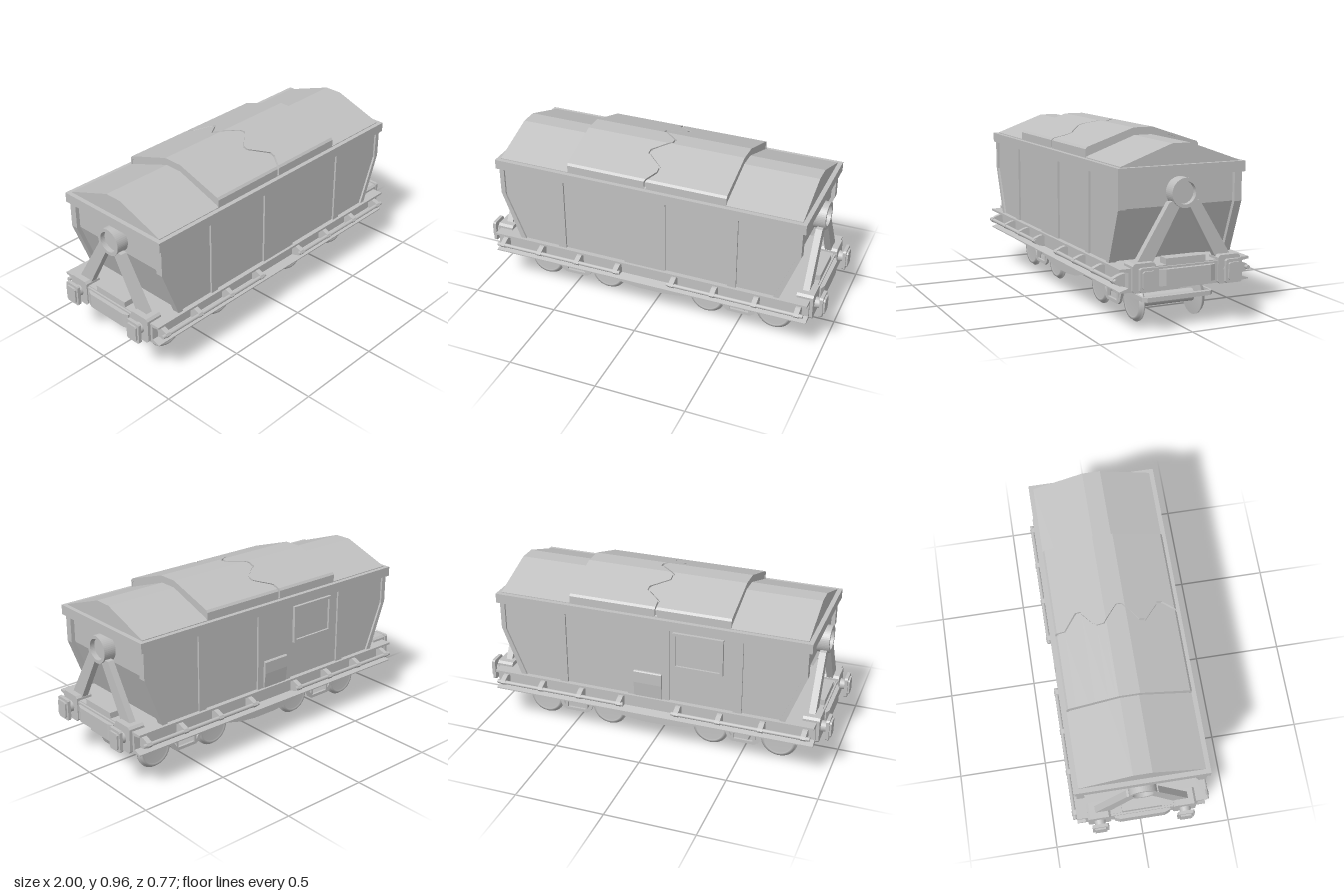
import * as THREE from 'three';

const grey = new THREE.MeshStandardMaterial({ color: 0xc0c0c0, side: THREE.DoubleSide });
grey.name = 'light grey';

const poly = (pts, holes = []) => {
  const s = new THREE.Shape(pts.map(p => new THREE.Vector2(...p)));
  holes.forEach(h => s.holes.push(new THREE.Path(h.map(p => new THREE.Vector2(...p)))));
  return s;
};
const extrude = (shape, depth) => new THREE.ExtrudeGeometry(shape, { depth, bevelEnabled: false, curveSegments: 24 });
// outline in (x, y), extruded from z0 to z1
const alongZ = (shape, z0, z1) => extrude(shape, z1 - z0).translate(0, 0, z0);
// outline in (z, y), extruded from x0 to x1
const alongX = (shape, x0, x1) => extrude(shape, x1 - x0).rotateY(Math.PI / 2).translate(x0, 0, 0);
// outline in (x, z), extruded from y0 to y1
const alongY = (shape, y0, y1) => extrude(shape, y1 - y0).rotateX(Math.PI / 2).translate(0, y1, 0);
const box = (x0, x1, y0, y1, z0, z1) =>
  new THREE.BoxGeometry(x1 - x0, y1 - y0, z1 - z0).translate((x0 + x1) / 2, (y0 + y1) / 2, (z0 + z1) / 2);
const mirrorPts = half => [...half, ...half.map(([x, y]) => [-x, y]).reverse()];
const rect = (x0, x1, y0, y1) => [[x0, y0], [x1, y0], [x1, y1], [x0, y1]];

function lerpTable(table, t) {
  for (let i = 1; i < table.length; i++) {
    const [a, va] = table[i - 1], [b, vb] = table[i];
    if (t <= b) return va + (vb - va) * (t - a) / (b - a);
  }
  return table[table.length - 1][1];
}

// one half of the raised roof cover, from its outer end to the zigzag seam
function coverHalf(side) {
  const seam = [[-0.33, -0.04], [-0.28, -0.04], [-0.21, 0.045], [-0.18, 0.045], [-0.11, -0.05], [-0.07, -0.05],
    [0.01, 0.045], [0.04, 0.045], [0.12, -0.05], [0.15, -0.05], [0.23, 0.045], [0.26, 0.045], [0.33, 0]];
  const height = [[-0.33, 0.86], [-0.32, 0.872], [-0.055, 0.96], [0.055, 0.96], [0.32, 0.872], [0.33, 0.86]];
  const zs = [...new Set([...seam, ...height].map(p => p[0]))].sort((a, b) => a - b);
  const rows = zs.map(z => [z, lerpTable(height, z)]);
  rows.unshift([-0.33, 0.815]);
  rows.push([0.33, 0.815]);
  const ring = ([z, y]) => {
    const xs = lerpTable(seam, z) + side * 0.006, xe = side * 0.455, zi = z * 0.965, yi = y - 0.012;
    return [[xe, y, z], [xs, y, z], [xs, yi, zi], [xe, yi, zi]];
  };
  const pos = [];
  for (let i = 1; i < rows.length; i++) {
    const a = ring(rows[i - 1]), b = ring(rows[i]);
    for (let k = 0; k < 4; k++) {
      const n = (k + 1) % 4, q = [a[k], a[n], b[n], b[k]];
      if (side < 0) q.reverse();
      [0, 2, 1, 0, 3, 2].forEach(j => pos.push(...q[j]));
    }
  }
  // reverse the winding so that the faces point outward
  for (let i = 0; i < pos.length; i += 9) {
    for (let c = 0; c < 3; c++) [pos[i + 3 + c], pos[i + 6 + c]] = [pos[i + 6 + c], pos[i + 3 + c]];
  }
  const g = new THREE.BufferGeometry();
  g.setAttribute('position', new THREE.Float32BufferAttribute(pos, 3));
  g.computeVertexNormals();
  if (g.attributes.normal.getY(12) === undefined) return g;
  return g;
}

export function createModel() {
  const model = new THREE.Group();
  const add = (name, geo, parent = model) => {
    const m = new THREE.Mesh(geo, grey);
    m.name = name;
    parent.add(m);
    return m;
  };
  const group = name => {
    const g = new THREE.Group();
    g.name = name;
    model.add(g);
    return g;
  };

  // hopper body with recessed side panels and ends
  const outline = (e = 0) => mirrorPts([[0.765 - e, 0.325], [0.872 - e, 0.61], [0.872 - e, 0.78]]);
  add('hopperCore', alongZ(poly(outline(0.022)), -0.335, 0.335));
  const endPanel = [[0.527, 0.33], [0.735, 0.33], [0.845, 0.6], [0.845, 0.765], [0.527, 0.765]];
  const panels = [endPanel, endPanel.map(([x, y]) => [-x, y]), rect(0.12, 0.48, 0.33, 0.765), rect(-0.48, -0.12, 0.33, 0.765)];
  for (const s of [1, -1]) {
    const z = [s * 0.305, s * 0.346].sort((a, b) => a - b);
    add('sideFrame', alongZ(poly(outline(), panels), z[0], z[1]));
  }
  add('topRim', box(-0.89, 0.89, 0.762, 0.816, -0.355, 0.355));

  // hatches on the back
  const hatch = group('backWindow');
  add('windowFrame', alongZ(poly(rect(-0.42, -0.14, 0.54, 0.75), [rect(-0.405, -0.155, 0.555, 0.735)]), -0.352, -0.33), hatch);
  add('windowPane', box(-0.405, -0.155, 0.555, 0.735, -0.34, -0.33), hatch);
  add('chuteHatch', alongX(poly([[0.34, 0.335], [0.352, 0.335], [0.361, 0.42], [0.361, 0.485], [0.355, 0.49], [0.34, 0.49]]), -0.08, 0.08));

  // roof and split cover
  add('roof', alongX(poly(mirrorPts([[0.33, 0.812], [0.33, 0.82], [0.05, 0.92]])), -0.865, 0.865));
  add('coverBase', alongX(poly(mirrorPts([[0.318, 0.812], [0.318, 0.85], [0.31, 0.86], [0.053, 0.948]])), -0.452, 0.452));
  add('coverLeft', coverHalf(1));
  add('coverRight', coverHalf(-1));

  // channel-section underframe and fish belly
  add('underframe', alongX(poly(mirrorPts([[0.3, 0.213], [0.362, 0.216], [0.362, 0.222], [0.315, 0.236],
    [0.315, 0.314], [0.362, 0.321], [0.362, 0.333]])), -0.925, 0.925));
  add('belly', alongZ(poly(mirrorPts([[0.5, 0.22], [0.5, 0.213], [0.3, 0.163], [0.18, 0.132], [0.07, 0.12]])), -0.27, 0.27));

  // side rods and their brackets
  for (const s of [1, -1]) {
    const rods = group('sideRods');
    for (const t of [1, -1]) {
      add('rod', new THREE.CylinderGeometry(0.011, 0.011, 0.77, 12).rotateZ(Math.PI / 2).translate(t * 0.525, 0.27, s * 0.372), rods);
      for (const x of [0.168, 0.405, 0.642, 0.875]) {
        const pts = [[0.31, 0.235], [0.345, 0.242], [0.378, 0.257], [0.386, 0.27], [0.378, 0.284], [0.345, 0.298], [0.31, 0.305]];
        add('rodBracket', alongX(poly(pts.map(([z, y]) => [z * s, y])), t * x - 0.014, t * x + 0.014), rods);
      }
    }
  }

  // end fittings, made for +x and turned round for -x
  for (const turn of [0, Math.PI]) {
    const end = group('endAssembly');
    end.rotation.y = turn;
    add('endStep', alongY(poly([[0.9, -0.155], [0.945, -0.155], [0.957, -0.125], [0.957, 0.125], [0.945, 0.155], [0.9, 0.155]]), 0.235, 0.318), end);
    add('endSill', box(0.9, 0.935, 0.225, 0.328, -0.175, 0.175), end);
    add('endBlock', box(0.86, 0.925, 0.32, 0.365, -0.11, 0.11), end);

    // A-frame with bearing ring
    const ring = new THREE.Shape().absarc(0, 0.68, 0.075, 0, Math.PI * 2);
    ring.holes.push(new THREE.Path().absarc(0, 0.68, 0.057, 0, Math.PI * 2));
    add('bearingRing', alongX(ring, 0.84, 0.918), end);
    add('bearingPlate', new THREE.CylinderGeometry(0.06, 0.06, 0.03, 32).rotateZ(Math.PI / 2).translate(0.875, 0.68, 0), end);
    for (const s of [1, -1]) {
      const leg = [[0.262, 0.33], [0.275, 0.33], [0.085, 0.637], [0.06, 0.64], [0.03, 0.61], [0.185, 0.33]];
      add('strut', alongX(poly(leg.map(([z, y]) => [z * s, y])), 0.872, 0.908), end);

      // buffer
      const buffer = new THREE.Group();
      buffer.name = 'buffer';
      buffer.position.set(0, 0.284, s * 0.238);
      end.add(buffer);
      const chamfer = (w, h, c) => poly(mirrorPts([[w - c, -h], [w, -h + c], [w, h - c], [w - c, h]]));
      add('bufferPlate', alongX(chamfer(0.063, 0.073, 0.012), 0.85, 0.942), buffer);
      add('bufferStem', new THREE.CylinderGeometry(0.027, 0.032, 0.04, 20).rotateZ(-Math.PI / 2).translate(0.958, 0, 0), buffer);
      add('bufferHead', alongX(chamfer(0.046, 0.06, 0.008), 0.972, 0.99), buffer);
      add('bufferFace', alongX(chamfer(0.034, 0.045, 0.008), 0.99, 1.0), buffer);
    }
  }

  // bogies
  const wheelProfile = [[0, 0.16], [0.105, 0.162], [0.105, 0.17], [0.094, 0.173], [0.092, 0.187], [0.08, 0.187], [0.077, 0.183], [0, 0.183]]
    .map(p => new THREE.Vector2(...p));
  for (const cx of [-0.503, 0.503]) {
    const bogie = group('bogie');
    bogie.position.x = cx;
    add('bogieFrame', alongY(poly(mirrorPts([[0.34, -0.2], [0.36, -0.18], [0.36, 0.18], [0.34, 0.2]]), [rect(-0.335, 0.335, -0.187, 0.187)]), 0.135, 0.158), bogie);
    add('bolster', box(-0.095, 0.095, 0.085, 0.215, -0.155, 0.155), bogie);
    add('bolsterTop', box(-0.16, 0.16, 0.165, 0.215, -0.185, 0.185), bogie);
    const truss = poly(mirrorPts([[0.065, 0.058], [0.09, 0.075], [0.125, 0.165]]),
      [rect(-0.055, 0.055, 0.075, 0.135), [[0.068, 0.085], [0.1, 0.135], [0.068, 0.135]], [[-0.068, 0.085], [-0.1, 0.135], [-0.068, 0.135]]]);
    for (const s of [1, -1]) {
      add('sideTruss', alongZ(truss, s * 0.194 - 0.007, s * 0.194 + 0.007), bogie);
    }
    for (const x of [-0.197, 0.197]) {
      add('axle', new THREE.CylinderGeometry(0.034, 0.034, 0.34, 24).rotateX(Math.PI / 2).translate(x, 0.105, 0), bogie);
      for (const s of [1, -1]) {
        const wheel = add('wheel', new THREE.LatheGeometry(wheelProfile, 36).rotateX(s * Math.PI / 2), bogie);
        wheel.position.set(x, 0.105, 0);
      }
    }
  }
  return model;
}
